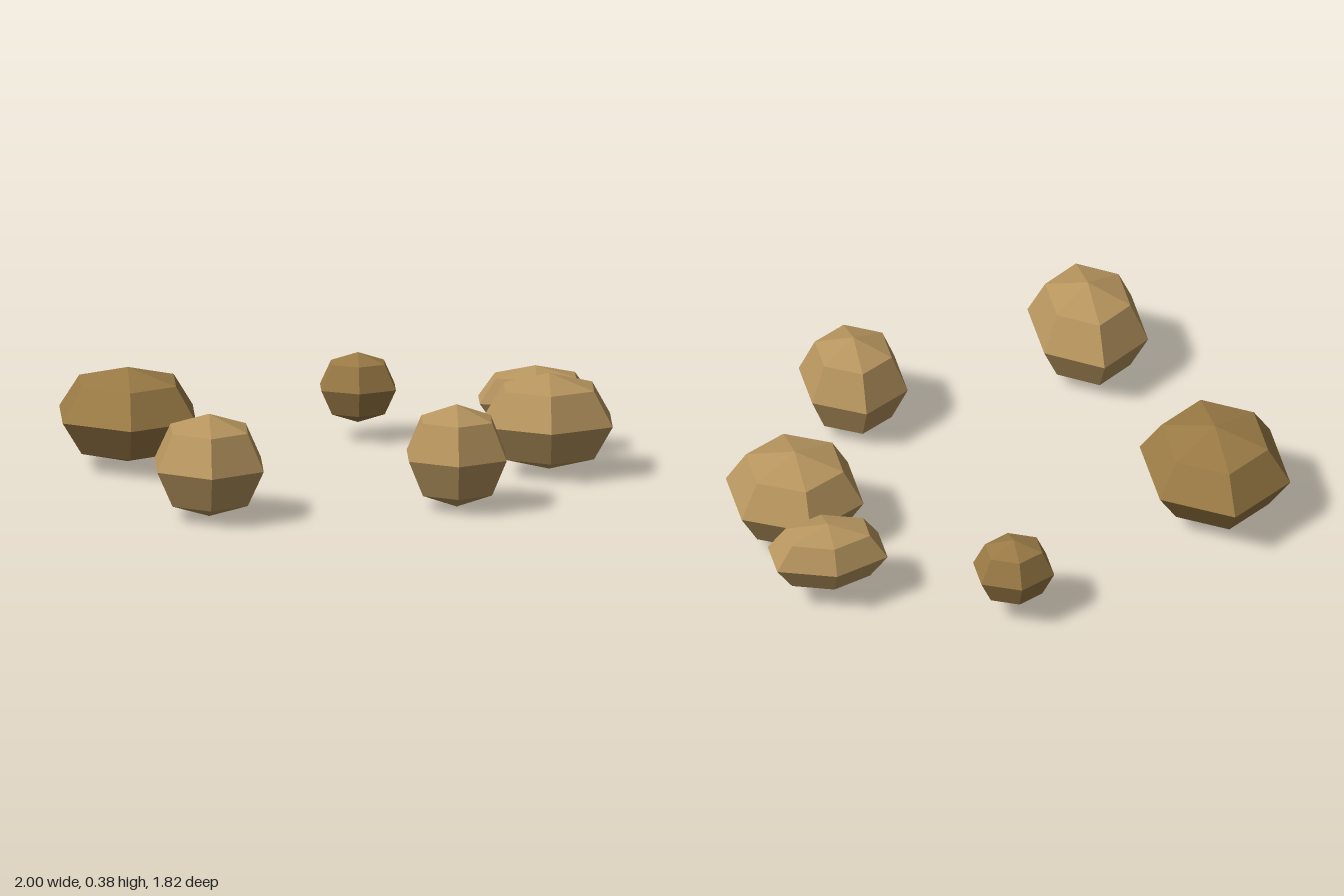
import * as THREE from 'three';

// Two stone colours
const tan = new THREE.MeshStandardMaterial({ color: 0xb8965f, flatShading: true });
const brown = new THREE.MeshStandardMaterial({ color: 0x9b7b46, flatShading: true });

// Low-poly boulder: six sides, four bands, corners pointing along +z and -z
const boulder = new THREE.SphereGeometry(1, 6, 4, Math.PI / 2);

// name, material, centre x, centre z, radii x, y, z
const ROCKS = [
  ['largeBrownRock', brown, -0.757, -0.313, 0.281, 0.175, 0.334],
  ['frontRightRock', tan, -0.496, 0.63, 0.224, 0.19, 0.278],
  ['frontLeftRock', tan, 0.412, 0.49, 0.206, 0.19, 0.222],
  ['leftRock', tan, 0.772, -0.132, 0.263, 0.178, 0.262],
  ['backLeftRock', tan, 0.738, -0.525, 0.238, 0.127, 0.157],
  ['smallBrownRock', brown, 0.1, -0.775, 0.157, 0.13, 0.138],
];

export function createModel() {
  const group = new THREE.Group();
  group.name = 'rockRing';
  for (const [name, material, x, z, rx, ry, rz] of ROCKS) {
    const rock = new THREE.Mesh(boulder, material);
    rock.name = name;
    rock.position.set(x, 0.19, z);
    rock.scale.set(rx, ry, rz);
    group.add(rock);
  }
  return group;
}
